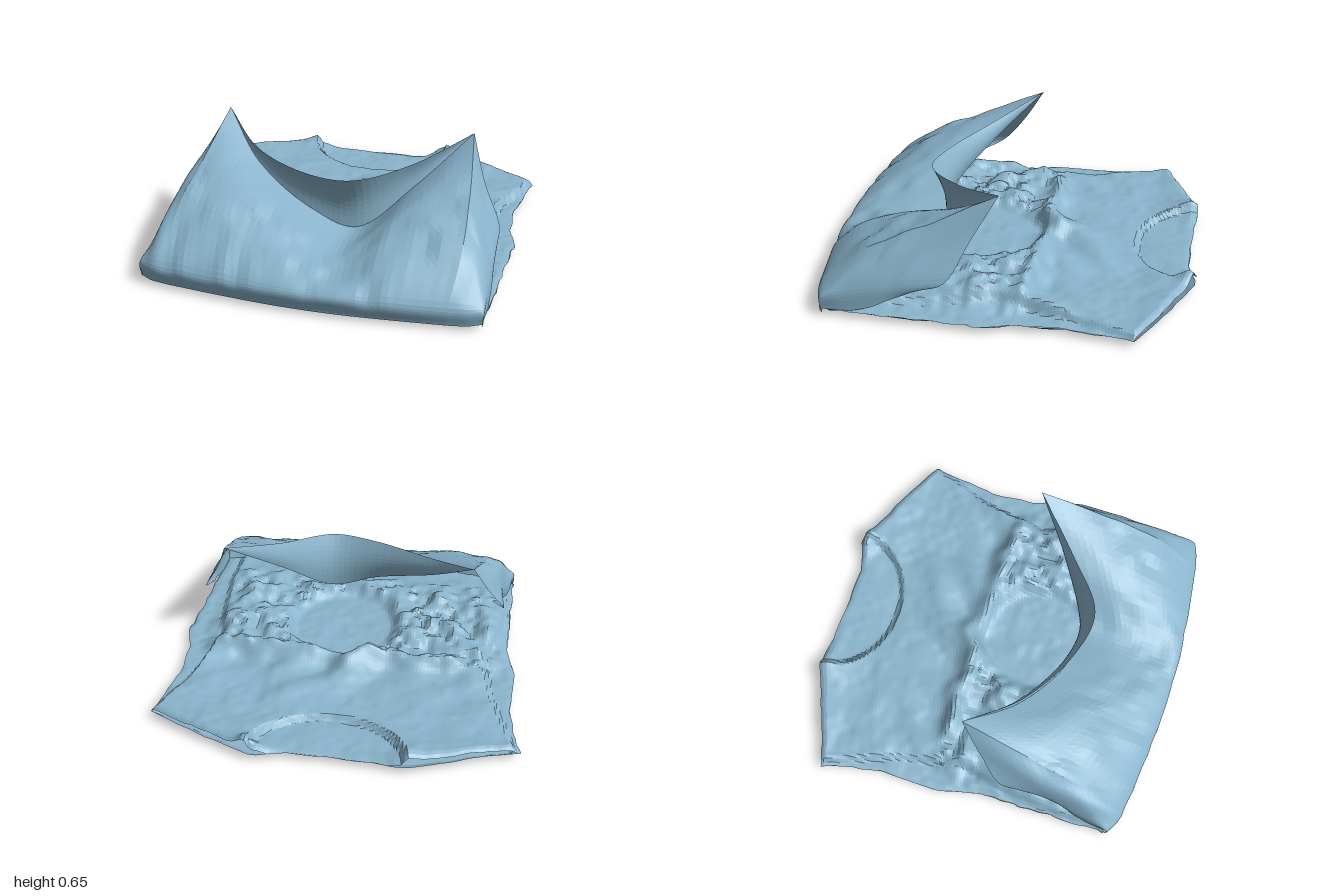
import * as THREE from 'three';

const V = (p) => new THREE.Vector3(...p);
const { smoothstep, lerp, clamp } = THREE.MathUtils;

// Piecewise-linear lookup through [position, value] pairs
function along(pairs, t) {
  for (let i = 1; i < pairs.length; i++) {
    const [a, va] = pairs[i - 1], [b, vb] = pairs[i];
    if (t <= b) return lerp(va, vb, clamp((t - a) / (b - a), 0, 1));
  }
  return pairs[pairs.length - 1][1];
}

// Smooth seeded value noise, -1 to 1
function hash(i, j) {
  const s = Math.sin(i * 127.1 + j * 311.7) * 43758.5453;
  return (s - Math.floor(s)) * 2 - 1;
}
function noise(x, z) {
  const i = Math.floor(x), j = Math.floor(z);
  const a = smoothstep(x - i, 0, 1), b = smoothstep(z - j, 0, 1);
  return lerp(lerp(hash(i, j), hash(i + 1, j), a), lerp(hash(i, j + 1), hash(i + 1, j + 1), a), b);
}

// Sheet of quads from a rule (u, v in 0..1) => Vector3
function sheet(nu, nv, rule) {
  const pos = [], idx = [];
  for (let j = 0; j <= nv; j++) {
    for (let i = 0; i <= nu; i++) pos.push(...rule(i / nu, j / nv).toArray());
  }
  for (let j = 0; j < nv; j++) {
    for (let i = 0; i < nu; i++) {
      const a = j * (nu + 1) + i, b = a + 1, c = a + nu + 1, d = c + 1;
      idx.push(a, c, b, b, c, d);
    }
  }
  const g = new THREE.BufferGeometry();
  g.setAttribute('position', new THREE.Float32BufferAttribute(pos, 3));
  g.setIndex(idx);
  g.computeVertexNormals();
  return g;
}

// Garment outline: left and right sides, shoulder line, front fold
const LEFT = [[0, -1], [0.08, -0.96], [0.23, -0.925], [0.42, -0.93], [0.55, -0.88], [1, -0.87]];
const RIGHT = [[0, 0.97], [0.08, 0.95], [0.23, 0.92], [0.38, 0.93], [0.48, 0.98], [1, 0.95]];
const BACK = [[-1, -0.74], [-0.7, -0.86], [-0.42, -0.96], [-0.2, -0.95], [0.2, -0.95], [0.37, -1], [0.7, -0.87], [1, -0.73]];
const FRONT = [[-1, 0.88], [-0.6, 0.94], [-0.2, 0.98], [0.1, 0.99], [0.5, 0.97], [1, 0.9]];

function outline(u, v) {
  const s = u * 2 - 1;
  const rag = 0.007 * noise(u * 30, v * 30);
  return [lerp(along(LEFT, v), along(RIGHT, v), u) + rag, lerp(along(BACK, s), along(FRONT, s), v) + rag];
}

// Height of the crumpled layers lying on the back panel
function layerHeight(x, z) {
  const w = noise(x * 9, z * 9) * 0.6 + noise(x * 21 + 5, z * 21) * 0.4;
  let y = 0.048 + 0.008 * w;
  // Upper layer, cut by the round neckline and the armholes
  const neck = Math.hypot((x + 0.02) / 0.4, (z + 0.98) / 0.33);
  const arm = along([[-0.75, 0.98], [-0.35, 0.83], [0, 0.76], [0.25, 0.82], [0.6, 0.86]], z);
  const inside = smoothstep(neck, 0.97, 1.07) * smoothstep(arm - Math.abs(x), -0.015, 0.025);
  y += inside * (0.03 + 0.02 * (1 - smoothstep(z, -0.9, -0.65)));
  // Soft folds radiating across the upper layer
  const folds = smoothstep(z, -0.7, -0.3) * (1 - smoothstep(z, -0.18, -0.08));
  y += inside * folds * (0.025 + 0.04 * noise(x * 6 + z * 3, z * 4));
  // Bunched hem across the middle
  const hemZ = -0.16 + 0.04 * noise(x * 8, 2);
  const span = 1 - smoothstep(Math.abs(x), 0.55, 0.75);
  y += span * 0.055 * Math.exp(-(((z - hemZ) / 0.06) ** 2));
  // Crumpled ring around the central hollow
  const r = Math.hypot((x - 0.08) / 0.31, (z - 0.2) / 0.34);
  const ring = smoothstep(r, 0.85, 1.15) * (1 - smoothstep(Math.abs(x), 0.7, 0.9));
  const zone = smoothstep(z, -0.18, -0.1) * (1 - smoothstep(z, 0.5, 0.85));
  y += ring * zone * (0.05 + 0.045 * w);
  // Raised shoulder tips beside the neckline
  y += 0.07 * Math.exp(-(((x - 0.37) / 0.07) ** 2) - (((z + 0.97) / 0.06) ** 2));
  y += 0.03 * Math.exp(-(((x + 0.42) / 0.1) ** 2) - (((z + 0.93) / 0.08) ** 2));
  return y;
}

// Flap panels: columns from left to right, each from the front fold up to the free edge
const LEFT_PEAK = [[-0.7, 0.03, 0.94], [-0.73, 0.32, 0.72], [-0.7, 0.5, 0.35], [-0.67, 0.66, 0]];
const RIGHT_PEAK = [[0.78, 0.03, 0.94], [0.8, 0.32, 0.72], [0.77, 0.5, 0.35], [0.72, 0.66, 0]];
const LEFT_SIDE = [
  [[-0.86, 0.02, 0.88], [-0.84, 0.05, 0.72], [-0.8, 0.11, 0.58], [-0.76, 0.18, 0.45]],
  [[-0.87, 0.03, 0.88], [-0.84, 0.16, 0.72], [-0.82, 0.21, 0.5], [-0.84, 0.25, 0.28]],
  [[-0.8, 0.03, 0.92], [-0.8, 0.27, 0.75], [-0.79, 0.38, 0.45], [-0.76, 0.44, 0.13]],
  LEFT_PEAK,
];
const MIDDLE = [
  LEFT_PEAK,
  [[-0.4, 0.03, 0.97], [-0.43, 0.3, 0.77], [-0.43, 0.415, 0.52], [-0.42, 0.455, 0.24]],
  [[-0.1, 0.03, 0.99], [-0.1, 0.22, 0.86], [-0.08, 0.28, 0.65], [-0.07, 0.3, 0.41]],
  [[0.2, 0.03, 0.99], [0.19, 0.18, 0.88], [0.18, 0.22, 0.67], [0.18, 0.225, 0.41]],
  [[0.48, 0.03, 0.97], [0.48, 0.29, 0.77], [0.47, 0.4, 0.52], [0.45, 0.42, 0.24]],
  RIGHT_PEAK,
];
const RIGHT_SIDE = [
  RIGHT_PEAK,
  [[0.88, 0.03, 0.92], [0.88, 0.26, 0.73], [0.85, 0.36, 0.42], [0.81, 0.44, 0.13]],
  [[0.95, 0.03, 0.89], [0.94, 0.16, 0.73], [0.93, 0.21, 0.5], [0.92, 0.24, 0.25]],
  [[0.95, 0.02, 0.89], [0.95, 0.05, 0.74], [0.94, 0.11, 0.56], [0.91, 0.18, 0.4]],
];
// Upper neckline, leaning forward over the middle panel
const NECKLINE = [[-0.67, 0.66, 0], [-0.42, 0.55, 0.26], [-0.07, 0.52, 0.45], [0.18, 0.53, 0.48], [0.45, 0.565, 0.27], [0.72, 0.66, 0]];

function flapPanel(points, nu) {
  const columns = points.map(([hem, ...rest]) => {
    const bulge = [hem[0], Math.min(0.12, rest[0][1] * 0.7), hem[2] + 0.01];
    return new THREE.CatmullRomCurve3([hem, bulge, ...rest].map(V));
  });
  const rows = 30;
  const curves = Array.from({ length: rows + 1 }, (_, j) =>
    new THREE.CatmullRomCurve3(columns.map((c) => c.getPoint(j / rows))));
  return sheet(nu, rows, (u, v) => {
    const p = curves[Math.round(v * rows)].getPoint(u);
    const w = noise(p.x * 13, p.z * 13 + p.y * 9) * Math.sin(Math.PI * v);
    return p.add(new THREE.Vector3(0, 0.01 * w, 0.008 * w));
  });
}

// Leaf-shaped sheet joining the flap's free edge to the upper neckline
function collarLeaf() {
  const low = new THREE.CatmullRomCurve3(MIDDLE.map((c) => V(c[3])));
  const high = new THREE.CatmullRomCurve3(NECKLINE.map(V));
  return sheet(40, 10, (u, v) => {
    const p = low.getPoint(u).lerp(high.getPoint(u), v);
    p.z -= 0.03 * Math.sin(Math.PI * v) * Math.sin(Math.PI * u);
    return p;
  });
}

export function createModel() {
  const group = new THREE.Group();
  const cloth = new THREE.MeshStandardMaterial({ color: 0x8ab4cc, flatShading: true, side: THREE.DoubleSide });
  const add = (name, geometry) => {
    const mesh = new THREE.Mesh(geometry, cloth);
    mesh.name = name;
    group.add(mesh);
  };

  // Back panel lying on the ground, curling up at its rim
  add('backPanel', sheet(40, 40, (u, v) => {
    const [x, z] = outline(u, v);
    const rim = Math.max(Math.abs(u * 2 - 1), Math.abs(v * 2 - 1));
    return new THREE.Vector3(x, 0.012 + 0.006 * noise(x * 8, z * 8) + 0.031 * smoothstep(rim, 0.95, 1), z);
  }));

  // Crumpled layers over the back panel, meeting it at the rim
  add('crumpledLayers', sheet(110, 110, (u, v) => {
    const [x, z] = outline(u, v);
    const rim = Math.max(Math.abs(u * 2 - 1), Math.abs(v * 2 - 1));
    const y = layerHeight(x, z);
    const edge = Math.max(0.043, y - 0.02);
    return new THREE.Vector3(x, lerp(y, edge, smoothstep(rim, 0.97, 1)), z);
  }));

  // Raised front flap: two peaks, a drooping valley between and steep sides
  add('flapLeftSide', flapPanel(LEFT_SIDE, 18));
  add('flapMiddle', flapPanel(MIDDLE, 45));
  add('flapRightSide', flapPanel(RIGHT_SIDE, 18));
  add('collarLeaf', collarLeaf());
  return group;
}
